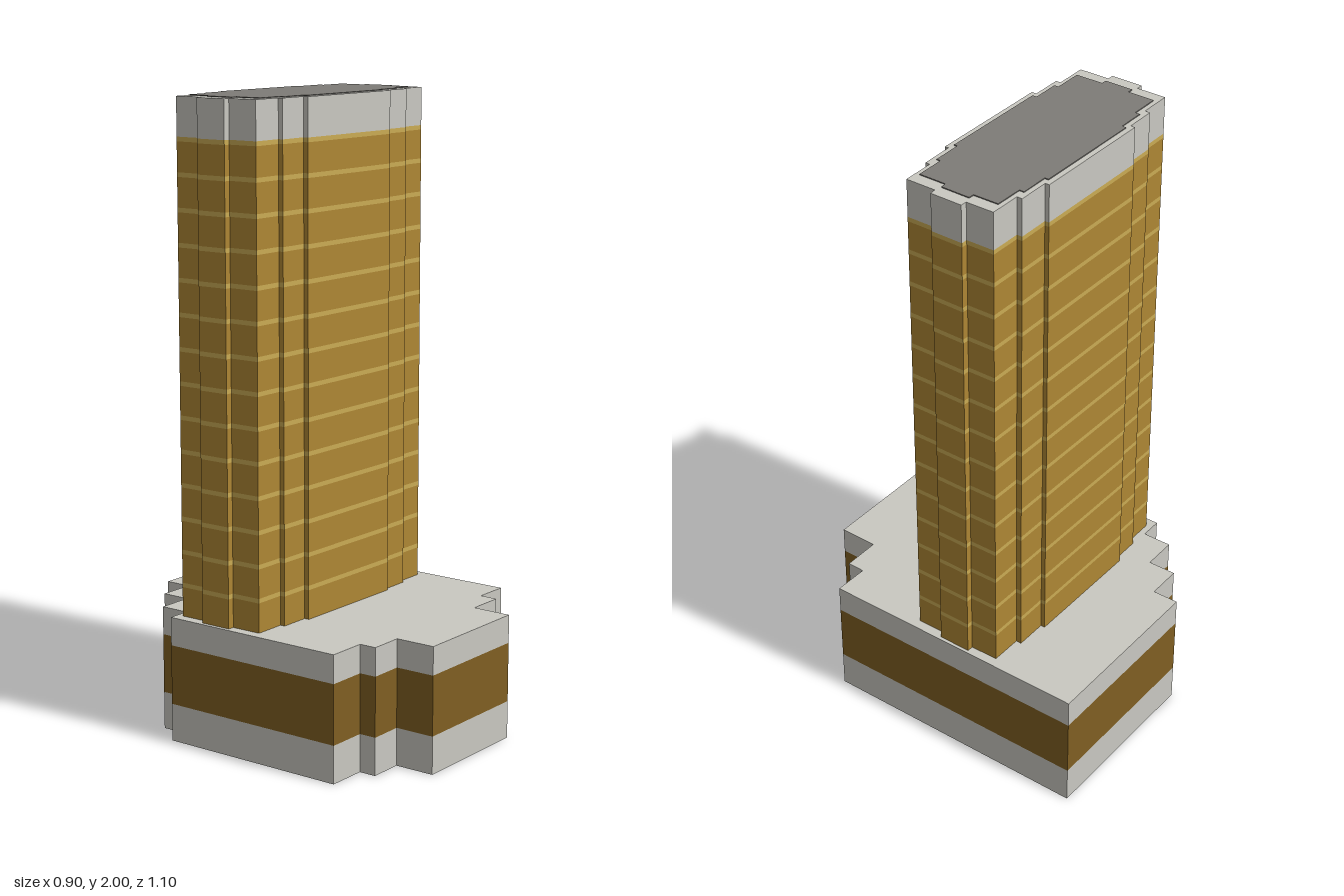
import * as THREE from 'three';

const mat = (name, color) => {
  const m = new THREE.MeshStandardMaterial({ color });
  m.name = name;
  return m;
};

// Plans as [x, z] corners
const podiumPlan = [
  [-0.145, -0.55], [0.45, -0.546], [0.443, 0.363], [0.328, 0.36], [0.326, 0.419], [0.202, 0.418],
  [0.2, 0.547], [-0.212, 0.544], [-0.212, 0.413], [-0.323, 0.413], [-0.323, 0.357], [-0.453, 0.356],
  [-0.449, -0.275], [-0.376, -0.275], [-0.376, -0.371], [-0.261, -0.371], [-0.261, -0.464], [-0.145, -0.464],
];
const towerPlan = [
  [-0.21, -0.286], [0.206, -0.281], [0.206, -0.267], [0.312, -0.266], [0.311, -0.248], [0.416, -0.246],
  [0.416, -0.154], [0.437, -0.153], [0.435, -0.046], [0.414, -0.045], [0.413, 0.055], [0.309, 0.055],
  [0.308, 0.07], [0.203, 0.071], [0.203, 0.083], [-0.212, 0.08], [-0.212, 0.064], [-0.312, 0.064],
  [-0.312, 0.048], [-0.417, 0.048], [-0.417, -0.052], [-0.438, -0.053], [-0.437, -0.157], [-0.416, -0.157],
  [-0.416, -0.254], [-0.31, -0.254], [-0.31, -0.271], [-0.21, -0.271],
];
// Roof deck is the tower plan shrunk about its centre
const roofPlan = towerPlan.map(([x, z]) => [x * 0.904, -0.101 + (z + 0.101) * 0.906]);

// Upright prism over a plan between two heights
function slab(name, plan, y0, y1, material) {
  const shape = new THREE.Shape(plan.map(([x, z]) => new THREE.Vector2(x, -z)));
  const geo = new THREE.ExtrudeGeometry(shape, { depth: y1 - y0, bevelEnabled: false });
  geo.rotateX(-Math.PI / 2);
  geo.translate(0, y0, 0);
  const mesh = new THREE.Mesh(geo, material);
  mesh.name = name;
  return mesh;
}

export function createModel() {
  const concrete = mat('pale concrete', 0xc9c8c1);
  const glass = mat('golden glass', 0xae8634);
  const trim = mat('light gold trim', 0xcaab54);
  const bronze = mat('dark bronze glass', 0x7f5f22);
  const deck = mat('grey roof deck', 0x7e7c77);
  const model = new THREE.Group();
  model.name = 'officeTower';

  // Stepped podium with a window band
  const podium = new THREE.Group();
  podium.name = 'podium';
  podium.add(
    slab('podiumBase', podiumPlan, 0, 0.12, concrete),
    slab('podiumWindows', podiumPlan, 0.12, 0.31, bronze),
    slab('podiumParapet', podiumPlan, 0.31, 0.4, concrete),
  );

  // Tower storeys, each glass with a thin trim line on top
  const tower = new THREE.Group();
  tower.name = 'tower';
  const floors = 14, pitch = 0.1054, line = 0.014, first = 0.493;
  let y = 0.4;
  for (let i = 0; i < floors; i++) {
    const top = first + i * pitch;
    tower.add(
      slab(`storeyGlass${i + 1}`, towerPlan, y, top, glass),
      slab(`storeyTrim${i + 1}`, towerPlan, top, top + line, trim),
    );
    y = top + line;
  }

  // Crown and roof deck
  tower.add(
    slab('crown', towerPlan, y, 1.997, concrete),
    slab('roofDeck', roofPlan, 1.997, 2, deck),
  );

  model.add(podium, tower);
  return model;
}
